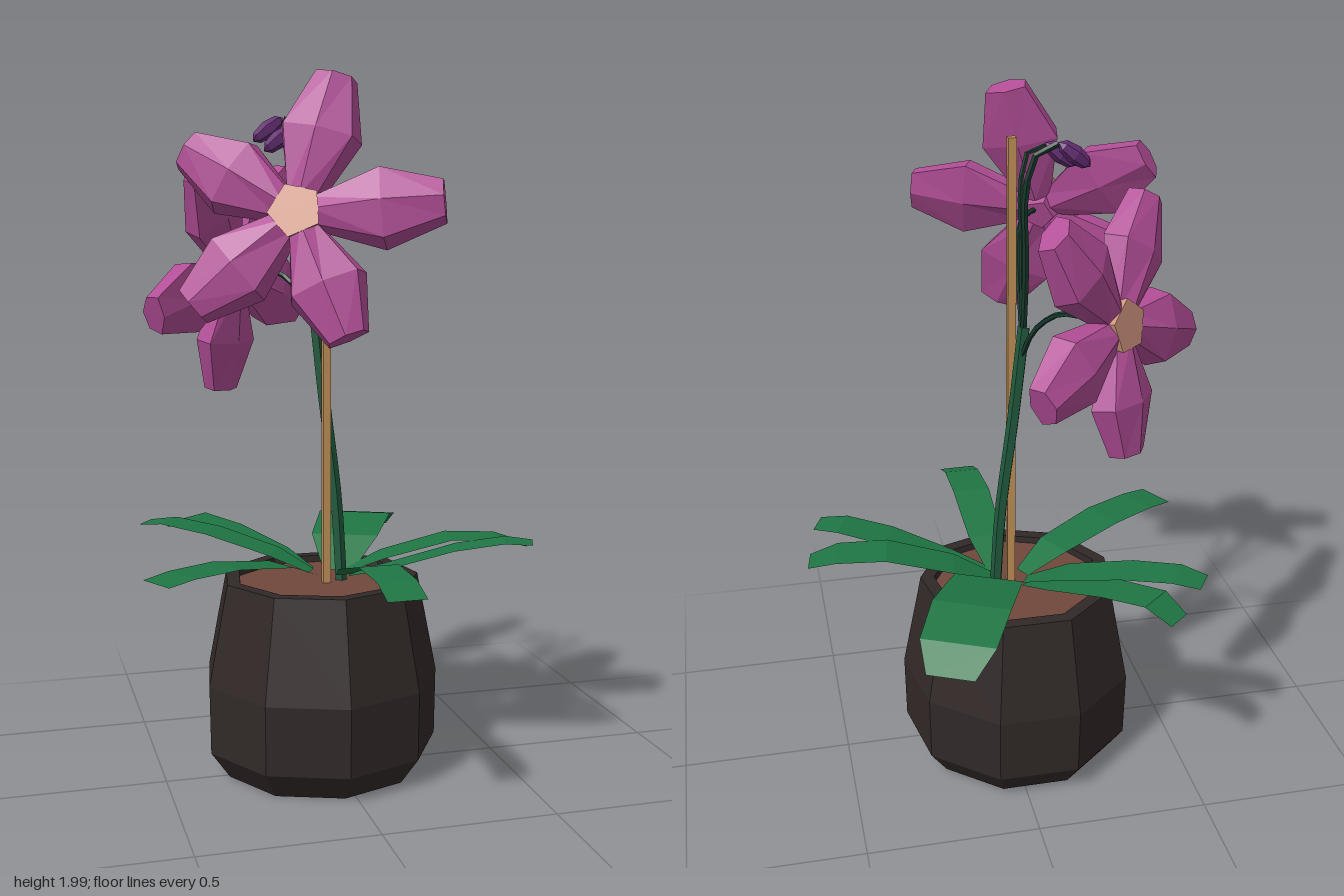
import * as THREE from 'three';

const mat = (name, color, extra = {}) => {
  const m = new THREE.MeshStandardMaterial({ color, ...extra });
  m.name = name;
  return m;
};
const V = (x, y, z) => new THREE.Vector3(x, y, z);
const rad = THREE.MathUtils.degToRad;

// Faceted copy of a geometry
function facet(geo) {
  const g = geo.index ? geo.toNonIndexed() : geo;
  g.computeVertexNormals();
  return g;
}

// Skin a list of rings (equal point counts); closed rings get end caps
function loft(rings, closed = true) {
  const n = rings[0].length, pos = [], idx = [];
  rings.flat().forEach(p => pos.push(p.x, p.y, p.z));
  for (let r = 0; r < rings.length - 1; r++) {
    for (let i = 0; i < (closed ? n : n - 1); i++) {
      const a = r * n + i, b = r * n + (i + 1) % n;
      idx.push(a, b, b + n, a, b + n, a + n);
    }
  }
  if (closed) {
    const e = (rings.length - 1) * n;
    for (let i = 1; i < n - 1; i++) idx.push(e, e + i, e + i + 1, 0, i + 1, i);
  }
  const g = new THREE.BufferGeometry();
  g.setAttribute('position', new THREE.Float32BufferAttribute(pos, 3));
  g.setIndex(idx);
  return facet(g);
}

// One thick ridged petal growing along +y and facing +z
function petalGeometry() {
  const section = [[-0.85, 0.55], [0, 1], [0.85, 0.55], [1, -0.5], [0, -0.9], [-1, -0.5]];
  const steps = [[0.04, 0.042, 0.044, 0], [0.22, 0.11, 0.062, 0], [0.378, 0.057, 0.042, -0.005]];
  return loft(steps.map(([y, w, t, z]) => section.map(([sx, sz]) => V(sx * w, y, sz * t + z))));
}

// Flat strap leaf: heads from base to tip in plan, arching through the given heights
function leafGeometry([x0, z0], [x1, z1], width, tip, heights) {
  const profile = [0.4, 0.9, 1, 0.95, tip];
  const stops = [0, 0.22, 0.58, 0.85, 1];
  const len = Math.hypot(x1 - x0, z1 - z0);
  const sx = -(z1 - z0) / len, sz = (x1 - x0) / len;
  const rings = stops.map((t, i) => {
    const w = profile[i] * width / 2;
    const x = x0 + (x1 - x0) * t, z = z0 + (z1 - z0) * t;
    return [-1, 1].map(s => V(x + s * w * sx, heights[i], z + s * w * sz));
  });
  return loft(rings, false);
}

export function createModel() {
  const root = new THREE.Group();
  root.name = 'pottedOrchid';
  const M = {
    pot: mat('charcoal pot', 0x312928),
    soil: mat('brown soil', 0x70473c),
    stake: mat('bamboo tan', 0xc09058),
    leaf: mat('leaf green', 0x1f7544, { side: THREE.DoubleSide }),
    stem: mat('stem green', 0x215a3e),
    twig: mat('dark twig green', 0x17382b),
    petal: mat('orchid magenta', 0xb14d96),
    throat: mat('peach throat', 0xd49780),
    bud: mat('bud purple', 0x622c70),
  };
  const add = (name, geo, material, parent = root) => {
    const m = new THREE.Mesh(geo, material);
    m.name = name;
    parent.add(m);
    return m;
  };

  // Nine-sided pot with a rim, and the soil inside it
  const profile = [[0, 0], [0.288, 0], [0.345, 0.08], [0.348, 0.28], [0.29, 0.575], [0.25, 0.575], [0.245, 0.53]];
  const pot = new THREE.LatheGeometry(profile.map(([r, y]) => new THREE.Vector2(r, y)), 9);
  add('pot', facet(pot), M.pot).position.set(-0.032, 0, -0.037);
  const soil = new THREE.CylinderGeometry(0.248, 0.248, 0.02, 9);
  add('soil', facet(soil), M.soil).position.set(-0.032, 0.545, -0.037);

  // Support stake
  add('stake', new THREE.BoxGeometry(0.023, 1.35, 0.023), M.stake).position.set(-0.015, 1.22, -0.023);

  // Leaves: base, tip, width, tip width factor, heights
  const leaves = [
    [[0.03, -0.06], [0.262, -0.56], 0.225, 0.6, [0.58, 0.66, 0.69, 0.66, 0.605]],
    [[0.04, -0.04], [0.58, 0.045], 0.13, 0.65, [0.58, 0.63, 0.68, 0.675, 0.65]],
    [[0.05, 0.0], [0.54, 0.2], 0.115, 0.7, [0.58, 0.61, 0.67, 0.695, 0.69]],
    [[0.03, 0.0], [0.045, 0.565], 0.115, 0.95, [0.58, 0.63, 0.685, 0.68, 0.65]],
    [[-0.05, -0.03], [-0.55, 0.235], 0.13, 0.9, [0.58, 0.63, 0.66, 0.66, 0.65]],
    [[-0.05, -0.07], [-0.5, -0.37], 0.12, 0.7, [0.58, 0.63, 0.68, 0.7, 0.69]],
    [[-0.05, -0.09], [-0.39, -0.485], 0.115, 0.7, [0.58, 0.62, 0.67, 0.69, 0.65]],
  ];
  leaves.forEach((spec, i) => add('leaf' + (i + 1), leafGeometry(...spec), M.leaf));

  // Main stem and the thin twigs carrying flowers and buds
  const tube = (name, pts, r, material) => {
    const curve = new THREE.CatmullRomCurve3(pts.map(p => V(...p)));
    add(name, facet(new THREE.TubeGeometry(curve, 9, r, 5)), material);
  };
  tube('mainStem', [[0.035, 0.55, -0.045], [0.02, 0.8, -0.047], [-0.015, 1.1, -0.055], [-0.045, 1.38, -0.055]], 0.018, M.stem);
  tube('upperStem', [[-0.042, 1.34, -0.055], [-0.045, 1.55, -0.07], [-0.04, 1.78, -0.09],
    [-0.07, 1.87, -0.095], [-0.12, 1.89, -0.1]], 0.009, M.twig);
  tube('budTwig', [[-0.043, 1.36, -0.04], [-0.045, 1.6, -0.015], [-0.05, 1.78, 0.015],
    [-0.08, 1.85, 0.035], [-0.12, 1.85, 0.045]], 0.007, M.twig);
  tube('frontFlowerTwig', [[-0.04, 1.33, -0.05], [-0.05, 1.42, 0.02], [-0.06, 1.55, 0.1],
    [-0.09, 1.615, 0.18], [-0.16, 1.62, 0.26]], 0.008, M.twig);
  tube('backFlowerTwig', [[-0.035, 1.28, -0.055], [-0.06, 1.38, -0.1], [-0.11, 1.45, -0.17],
    [-0.15, 1.465, -0.23], [-0.22, 1.455, -0.28]], 0.008, M.twig);

  // Drooping buds
  [[-0.165, 1.86, -0.1], [-0.165, 1.825, 0.048]].forEach((p, i) => {
    const g = new THREE.SphereGeometry(1, 6, 4);
    g.scale(0.025, 0.055, 0.025);
    const bud = add('bud' + (i + 1), facet(g), M.bud);
    bud.position.set(...p);
    bud.rotation.z = rad(-52);
  });

  // Five-petalled flowers; start is the angle of the first petal, lengths scale each petal
  const petal = petalGeometry();
  const flower = (name, centre, normal, start, lengths) => {
    const f = new THREE.Group();
    f.name = name;
    const n = V(...normal).normalize();
    const u = V(0, 1, 0).cross(n).normalize();
    f.quaternion.setFromRotationMatrix(new THREE.Matrix4().makeBasis(u, n.clone().cross(u), n));
    f.position.set(...centre);
    lengths.forEach((len, k) => {
      const p = add('petal' + (k + 1), petal, M.petal, f);
      p.rotation.z = rad(start + 72 * k - 90);
      p.scale.set(0.5 + len / 2, len, 1);
    });
    const disc = (part, front, rear, depth, z, material) => {
      const g = new THREE.CylinderGeometry(front, rear, depth, 5);
      g.rotateX(Math.PI / 2);
      g.rotateZ(rad(start + 126));
      add(part, facet(g), material, f).position.z = z;
    };
    disc('throat', 0.074, 0.062, 0.05, 0.021, M.throat);
    disc('flowerBack', 0.06, 0.045, 0.04, -0.03, M.petal);
    root.add(f);
  };
  flower('frontFlower', [-0.168, 1.62, 0.275], [-0.46, 0.31, 1], 6, [1.01, 1.01, 0.94, 0.96, 0.94]);
  flower('backFlower', [-0.235, 1.455, -0.287], [-0.65, 0.16, -0.74], 54, [0.95, 0.95, 0.95, 0.94, 0.95]);

  return root;
}
